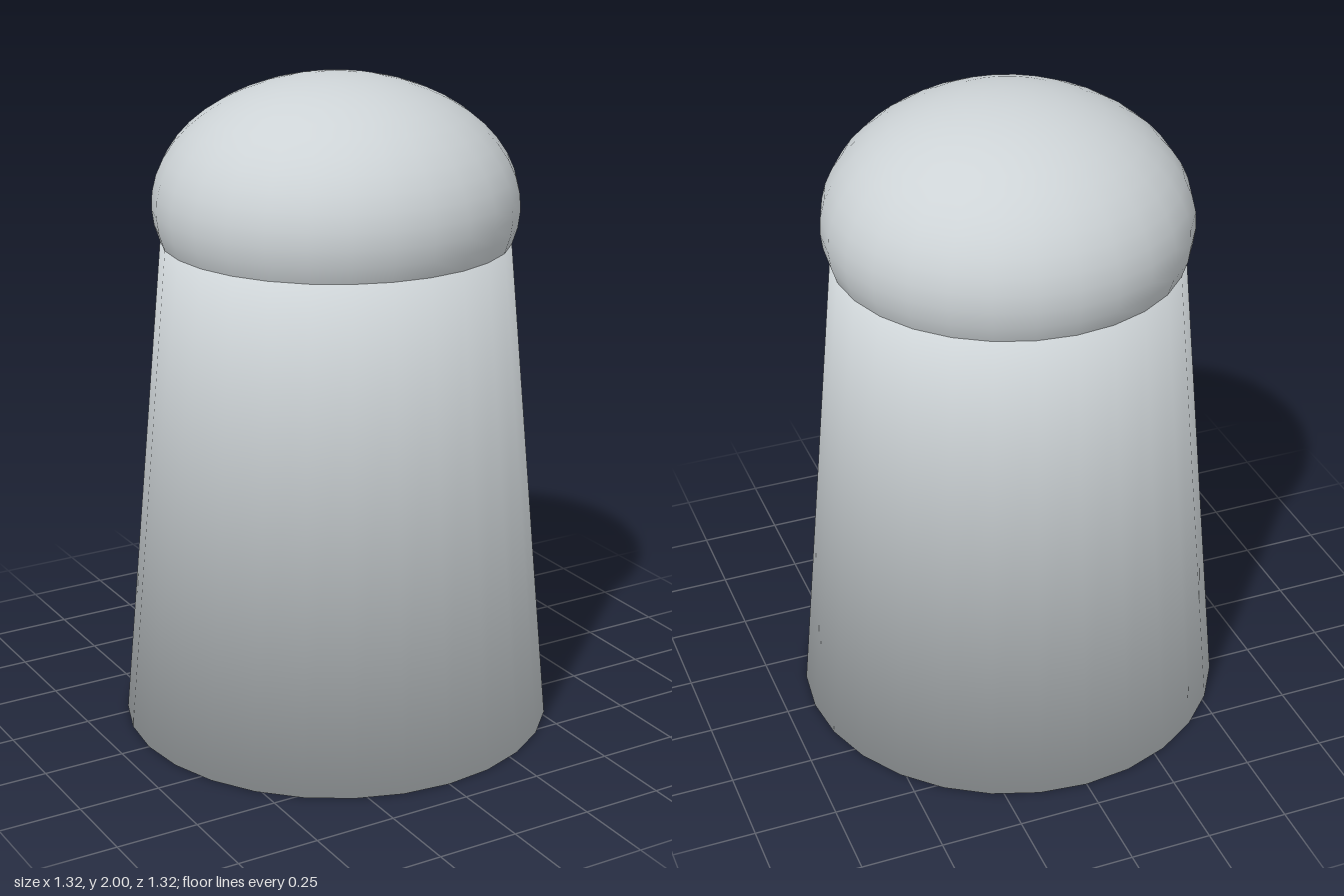
import * as THREE from 'three';

const SIDES = 28;

// Closed tapered drum whose normals are blended softly across both rims
function softDrum(bottomRadius, topRadius, height) {
  const pos = [], nor = [], idx = [];
  const slope = Math.atan((bottomRadius - topRadius) / height);
  for (const [y, r, cap] of [[0, bottomRadius, -1], [height, topRadius, 1]]) {
    for (let i = 0; i < SIDES; i++) {
      const a = (i / SIDES) * Math.PI * 2;
      const s = Math.sin(a), c = Math.cos(a);
      pos.push(r * s, y, r * c);
      const n = new THREE.Vector3(s * Math.cos(slope), Math.sin(slope) + cap, c * Math.cos(slope)).normalize();
      nor.push(n.x, n.y, n.z);
    }
  }
  for (let i = 0; i < SIDES; i++) {
    const j = (i + 1) % SIDES;
    idx.push(i, j, SIDES + j, i, SIDES + j, SIDES + i);
  }
  // End caps
  for (let i = 1; i < SIDES - 1; i++) {
    idx.push(0, i + 1, i, SIDES, SIDES + i, SIDES + i + 1);
  }
  const geo = new THREE.BufferGeometry();
  geo.setAttribute('position', new THREE.Float32BufferAttribute(pos, 3));
  geo.setAttribute('normal', new THREE.Float32BufferAttribute(nor, 3));
  geo.setIndex(idx);
  return geo;
}

export function createModel() {
  const model = new THREE.Group();
  model.name = 'domedPeg';

  const paleGrey = new THREE.MeshStandardMaterial({ color: 0xcdd3d6 });
  paleGrey.name = 'paleGrey';

  // Tapered body
  const body = new THREE.Mesh(softDrum(0.66, 0.522, 1.51), paleGrey);
  body.name = 'body';
  model.add(body);

  // Flattened dome, cut just below its widest ring
  const centreY = 1.62, rise = 0.38, drop = 0.11;
  const domeGeo = new THREE.SphereGeometry(1, SIDES, 14, 0, Math.PI * 2, 0, Math.acos(-drop / rise));
  domeGeo.scale(0.545, rise, 0.545);
  const dome = new THREE.Mesh(domeGeo, paleGrey);
  dome.name = 'domeCap';
  dome.position.y = centreY;
  model.add(dome);

  return model;
}
